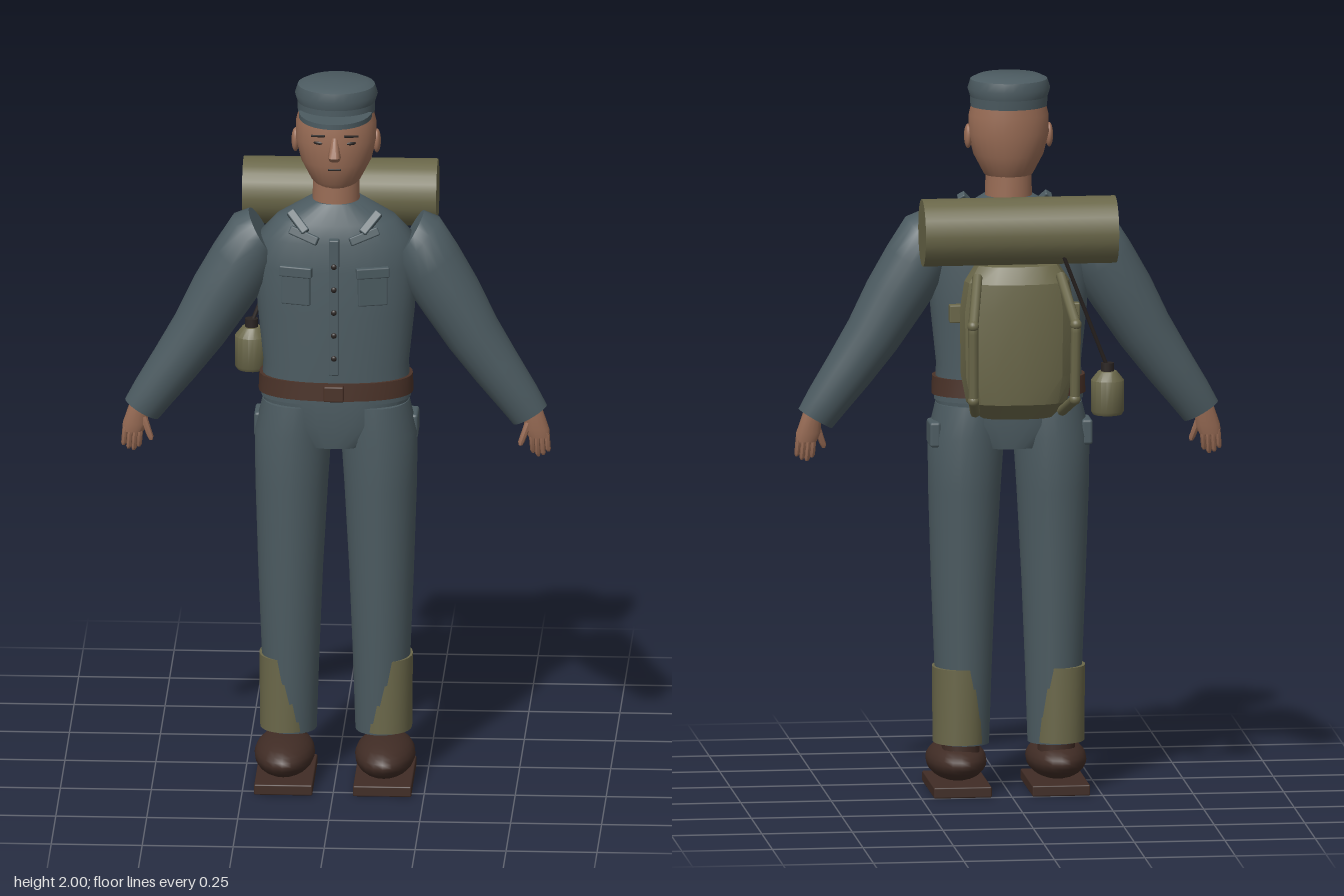
import * as THREE from 'three';
import { toCreasedNormals } from 'three/addons/utils/BufferGeometryUtils.js';
import { RoundedBoxGeometry } from 'three/addons/geometries/RoundedBoxGeometry.js';

const material = (name, color) => new THREE.MeshStandardMaterial({ name, color });

// Skin over rings listed bottom to top: [x, y, z, radius across, radius in z, tilt].
// p is the roundness: 2 is an ellipse, more is boxier.
function loft(rings, sides = 24, p = 2, crease = 0.7) {
  const pos = [], index = [];
  const round = (v) => Math.sign(v) * Math.abs(v) ** (2 / p);
  for (const [x, y, z, ru, rz, tilt = 0] of rings) {
    for (let j = 0; j < sides; j++) {
      const a = (j / sides) * Math.PI * 2;
      const u = ru * round(Math.cos(a));
      pos.push(x + u * Math.cos(tilt), y + u * Math.sin(tilt), z + rz * round(Math.sin(a)));
    }
  }
  const last = (rings.length - 1) * sides, low = rings.length * sides, high = low + 1;
  pos.push(...rings[0].slice(0, 3), ...rings[rings.length - 1].slice(0, 3));
  for (let j = 0; j < sides; j++) {
    const k = (j + 1) % sides;
    for (let i = 0; i < last; i += sides) {
      index.push(i + j, i + sides + j, i + k, i + k, i + sides + j, i + sides + k);
    }
    index.push(low, j, k, high, last + k, last + j);
  }
  const geo = new THREE.BufferGeometry();
  geo.setAttribute('position', new THREE.Float32BufferAttribute(pos, 3));
  geo.setIndex(index);
  return toCreasedNormals(geo, crease);
}

// Tube through straight-sided corners.
function bar(points, radius, sides = 8) {
  const path = new THREE.CurvePath();
  const v = points.map((q) => new THREE.Vector3(...q));
  for (let i = 1; i < v.length; i++) path.add(new THREE.LineCurve3(v[i - 1], v[i]));
  return new THREE.TubeGeometry(path, 24, radius, sides);
}

export function createModel() {
  const model = new THREE.Group();
  model.name = 'soldier';
  const cloth = material('blue grey cloth', 0x4c5b61);
  const olive = material('olive canvas', 0x6a6749);
  const leather = material('shoe leather', 0x402c25);
  const belt = material('belt leather', 0x4a3228);
  const skin = material('skin', 0x9a6d56);
  const dark = material('dark details', 0x2a2422);

  function add(name, geo, mat, at = [0, 0, 0], turn = [0, 0, 0], scale = [1, 1, 1]) {
    const mesh = new THREE.Mesh(geo, mat);
    mesh.name = name;
    mesh.position.set(...at);
    mesh.rotation.set(...turn);
    mesh.scale.set(...scale);
    model.add(mesh);
    return mesh;
  }
  const ball = new THREE.SphereGeometry(1, 20, 14);
  const box = (w, h, d, r = 0.004) => new RoundedBoxGeometry(w, h, d, 2, r);

  // Head and neck
  add('neck', loft([[0, 1.62, 0.09, 0.066, 0.066], [0, 1.75, 0.09, 0.063, 0.065]]), skin);
  add('head', loft([
    [0, 1.705, 0.095, 0.05, 0.055], [0, 1.725, 0.095, 0.068, 0.072],
    [0, 1.78, 0.092, 0.097, 0.09], [0, 1.84, 0.09, 0.112, 0.097],
    [0, 1.89, 0.088, 0.11, 0.096], [0, 1.95, 0.085, 0.095, 0.088],
  ], 28), skin);
  add('nose', loft([
    [0, 1.798, 0.182, 0.014, 0.012], [0, 1.812, 0.19, 0.018, 0.022], [0, 1.865, 0.18, 0.008, 0.008],
  ], 10), skin);
  add('mouth', box(0.036, 0.006, 0.008, 0.002), dark, [0, 1.772, 0.177]);

  // Cap
  add('capBand', loft([[0, 1.915, 0.082, 0.106, 0.098], [0, 1.948, 0.08, 0.107, 0.1]], 28), cloth);
  add('capCrown', loft([
    [0, 1.942, 0.08, 0.107, 0.101], [0, 1.965, 0.08, 0.114, 0.106],
    [0, 1.99, 0.08, 0.106, 0.1], [0, 2, 0.08, 0.085, 0.08],
  ], 28), cloth);
  const peak = new THREE.Shape();
  peak.absellipse(0, 0, 0.1, 0.125, 0, Math.PI, false);
  add('capPeak', new THREE.ExtrudeGeometry(peak, { depth: 0.014, bevelEnabled: false, curveSegments: 20 }),
    cloth, [0, 1.925, 0.128], [Math.PI / 2, 0, 0]);

  // Jacket
  add('jacket', loft([
    [0, 1.1, 0.09, 0.206, 0.114], [0, 1.2, 0.09, 0.2, 0.116], [0, 1.35, 0.087, 0.216, 0.118],
    [0, 1.48, 0.085, 0.224, 0.118], [0, 1.56, 0.084, 0.212, 0.112],
    [0, 1.61, 0.084, 0.165, 0.098], [0, 1.665, 0.088, 0.07, 0.07],
  ], 32, 2.3), cloth);
  add('placket', box(0.028, 0.39, 0.026), cloth, [0, 1.385, 0.205]);
  for (let i = 0; i < 5; i++) add('button', ball, dark, [0, 1.24 + i * 0.066, 0.218], [0, 0, 0], [0.008, 0.008, 0.005]);
  add('belt', loft([[0, 1.115, 0.092, 0.213, 0.122], [0, 1.165, 0.092, 0.211, 0.12]], 32, 2.3), belt);
  add('buckle', box(0.055, 0.044, 0.024), belt, [0, 1.14, 0.22]);

  // Trouser seat
  add('trouserSeat', loft([
    [0, 0.972, 0.09, 0.105, 0.105], [0, 1.04, 0.09, 0.195, 0.116], [0, 1.13, 0.09, 0.205, 0.114],
  ], 32, 2.3), cloth);

  // Mirrored parts
  for (const s of [1, -1]) {
    // Face
    add('ear', ball, skin, [s * 0.112, 1.83, 0.088], [0, 0, 0], [0.011, 0.034, 0.021]);
    add('eye', ball, dark, [s * 0.045, 1.848, 0.173], [0, s * 0.4, 0], [0.016, 0.006, 0.007]);
    add('eyebrow', box(0.042, 0.006, 0.01, 0.002), dark, [s * 0.045, 1.868, 0.174], [0, s * 0.4, -s * 0.1]);

    // Collar flaps and chest pockets
    add('collarFlap', box(0.024, 0.075, 0.022), cloth, [s * 0.1, 1.625, 0.192], [-0.55, 0, -s * 0.65]);
    add('collarPoint', box(0.085, 0.024, 0.02), cloth, [s * 0.083, 1.59, 0.205], [-0.3, s * 0.15, s * 0.4]);
    add('chestPocket', box(0.082, 0.095, 0.016), cloth, [s * 0.105, 1.435, 0.192], [0, s * 0.25, 0]);
    add('pocketFlap', box(0.092, 0.03, 0.022), cloth, [s * 0.105, 1.482, 0.193], [0, s * 0.25, 0]);

    // Sleeve
    add('sleeve', loft([
      [s * 0.533, 1.05, 0.096, 0.054, 0.047, s * 0.53], [s * 0.5, 1.1, 0.094, 0.06, 0.058, s * 0.58],
      [s * 0.44, 1.185, 0.092, 0.069, 0.068, s * 0.6], [s * 0.376, 1.28, 0.09, 0.078, 0.08, s * 0.57],
      [s * 0.315, 1.385, 0.088, 0.088, 0.088, s * 0.53], [s * 0.26, 1.475, 0.086, 0.092, 0.095, s * 0.6],
      [s * 0.225, 1.54, 0.085, 0.09, 0.094, s * 0.85], [s * 0.205, 1.563, 0.085, 0.072, 0.08, s * 1.05],
    ], 20), cloth);

    // Hand
    add('palm', loft([
      [s * 0.558, 0.985, 0.098, 0.029, 0.015], [s * 0.552, 1.01, 0.098, 0.034, 0.02],
      [s * 0.54, 1.07, 0.096, 0.026, 0.023],
    ], 14), skin);
    for (let i = 0; i < 4; i++) {
      const x = s * (0.537 + i * 0.014);
      const tip = 0.928 + Math.abs(i - 1.3) * 0.01;
      add('finger', loft([
        [x + s * 0.005, tip, 0.1, 0.004, 0.004], [x + s * 0.004, tip + 0.007, 0.1, 0.0075, 0.009],
        [x, 0.998, 0.098, 0.008, 0.011],
      ], 8), skin);
    }
    add('thumb', loft([
      [s * 0.508, 0.965, 0.112, 0.005, 0.005], [s * 0.51, 0.975, 0.111, 0.009, 0.009],
      [s * 0.53, 1.03, 0.102, 0.011, 0.012],
    ], 8), skin);

    // Trouser leg, hip pocket, gaiter
    add('trouserLeg', loft([
      [s * 0.124, 0.14, 0.094, 0.071, 0.076], [s * 0.125, 0.35, 0.094, 0.079, 0.09],
      [s * 0.125, 0.6, 0.095, 0.089, 0.099], [s * 0.122, 0.85, 0.09, 0.1, 0.112],
      [s * 0.118, 1.0, 0.088, 0.106, 0.119], [s * 0.108, 1.09, 0.09, 0.094, 0.112],
    ]), cloth);
    add('hipPocket', box(0.03, 0.07, 0.09, 0.008), cloth, [s * 0.21, 1.01, 0.06]);
    add('gaiter', loft([
      [s * 0.137, 0.145, 0.09, 0.072, 0.087], [s * 0.138, 0.355, 0.09, 0.073, 0.088],
    ], 24, 2.2), olive);

    // Shoe
    add('ankle', new THREE.CylinderGeometry(0.052, 0.052, 0.08, 18), leather, [s * 0.132, 0.13, 0.09]);
    add('shoe', ball, leather, [s * 0.138, 0.085, 0.152], [0, 0, 0], [0.083, 0.056, 0.157]);
    add('sole', box(0.16, 0.03, 0.285), leather, [s * 0.136, 0.015, 0.142]);

    // Frame handles and side tabs of the pack
    add('packFrame', bar([
      [s * 0.115, 1.48, -0.16], [s * 0.142, 1.365, -0.295], [s * 0.14, 1.155, -0.283], [s * 0.12, 1.1, -0.15],
    ], 0.014), olive);
    add('frameCorner', ball, olive, [s * 0.142, 1.365, -0.293], [0, 0, 0], [0.016, 0.016, 0.016]);
    add('frameCorner', ball, olive, [s * 0.14, 1.155, -0.282], [0, 0, 0], [0.016, 0.016, 0.016]);
    add('packTab', box(0.04, 0.05, 0.03), olive, [s * 0.16, 1.36, -0.05]);
  }

  // Pack and bedroll
  add('pack', loft([
    [0, 1.08, -0.1, 0.1, 0.06], [0, 1.125, -0.108, 0.14, 0.088], [0, 1.2, -0.11, 0.155, 0.092],
    [0, 1.38, -0.11, 0.158, 0.092], [0, 1.46, -0.108, 0.145, 0.087], [0, 1.505, -0.1, 0.115, 0.066],
  ], 16, 2.5, 0.4), olive);
  add('bedroll', new THREE.CylinderGeometry(0.093, 0.093, 0.534, 24), olive, [0, 1.605, -0.155], [0, 0, Math.PI / 2]);

  // Canteen on its strap
  add('canteen', loft([
    [-0.245, 1.09, -0.155, 0.04, 0.04], [-0.245, 1.1, -0.155, 0.046, 0.046],
    [-0.245, 1.185, -0.155, 0.046, 0.046], [-0.245, 1.21, -0.155, 0.026, 0.026],
  ], 18), olive);
  add('canteenStopper', new THREE.CylinderGeometry(0.018, 0.018, 0.026, 14), dark, [-0.245, 1.22, -0.155]);
  add('canteenStrap', bar([[-0.245, 1.22, -0.155], [-0.11, 1.56, -0.22]], 0.006, 6), dark);

  return model;
}
